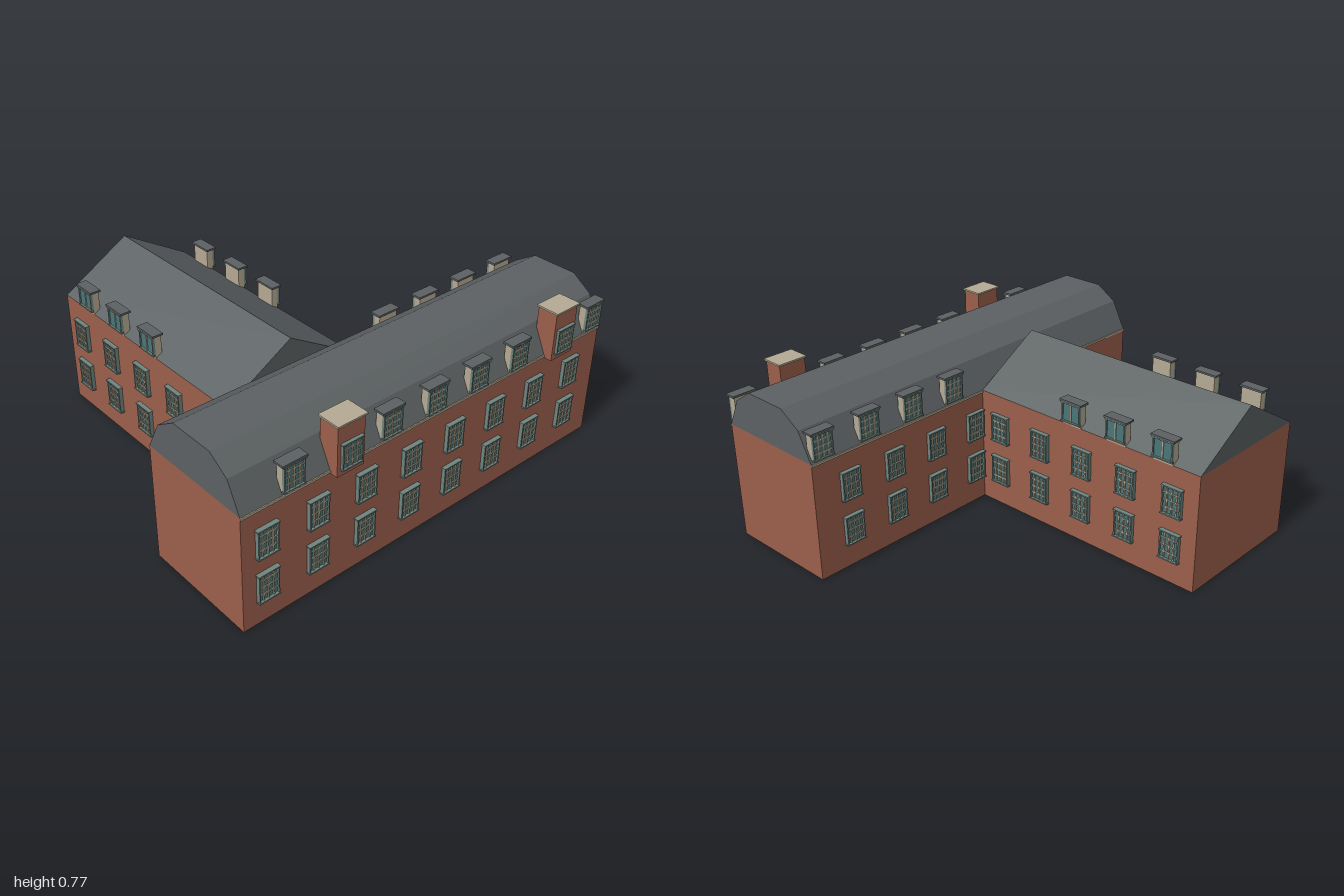
import * as THREE from 'three';
import { mergeGeometries } from 'three/addons/utils/BufferGeometryUtils.js';

const mat = (name, color) => {
  const m = new THREE.MeshStandardMaterial({ color });
  m.name = name;
  return m;
};

const EAVES = 0.55, RIDGE = 0.746;
const FRONT = 0.853, BACK = 0.302, WING_END = -0.905;
const WING_L = -0.636, WING_R = 0.027, WING_MID = (WING_L + WING_R) / 2;

// Box given by its minimum and maximum corners
function span(x0, x1, y0, y1, z0, z1) {
  return new THREE.BoxGeometry(x1 - x0, y1 - y0, z1 - z0)
    .translate((x0 + x1) / 2, (y0 + y1) / 2, (z0 + z1) / 2);
}

function prism(points, depth) {
  const shape = new THREE.Shape(points.map(([a, b]) => new THREE.Vector2(a, b)));
  return new THREE.ExtrudeGeometry(shape, { depth, bevelEnabled: false });
}

// Frame, glass and glazing bars for a window facing +z, standing on the z = 0 plane
function windowParts(w, h, cols, rows, depth) {
  const a = w / 2, b = h / 2, t = 0.006;
  const frame = [
    span(-a, -a + t, -b, b, 0, depth), span(a - t, a, -b, b, 0, depth),
    span(-a - 0.003, a + 0.003, b - t, b, 0, depth + 0.003),
    span(-a - 0.003, a + 0.003, -b, -b + t, 0, depth + 0.003),
  ];
  const bars = [];
  for (let i = 1; i < cols; i++) {
    const x = -a + (w * i) / cols;
    bars.push(span(x - 0.003, x + 0.003, -b + t, b - t, 0.002, depth * 0.8));
  }
  for (let i = 1; i < rows; i++) {
    const y = -b + (h * i) / rows;
    bars.push(span(-a + t, a - t, y - 0.003, y + 0.003, 0.002, depth * 0.8 - 0.001));
  }
  return {
    frame: mergeGeometries(frame),
    glass: span(-a + t, a - t, -b + t, b - t, 0, depth * 0.5),
    bars: mergeGeometries(bars),
  };
}

export function createModel() {
  const brick = mat('brick', 0x9c604c);
  const slate = mat('slate', 0x5c6163);
  const stone = mat('stone', 0xb5aa93);
  const glassMat = mat('glass', 0x4c7678);
  const frameMat = mat('window frame', 0x6f8580);

  const model = new THREE.Group();
  model.name = 'building';
  const add = (parent, name, geometry, material) => {
    const mesh = new THREE.Mesh(geometry, material);
    mesh.name = name;
    parent.add(mesh);
    return mesh;
  };

  // Brick walls
  add(model, 'mainWalls', span(-1, 1, 0, EAVES, BACK, FRONT), brick);
  add(model, 'wingWalls', span(WING_L, WING_R, 0, EAVES, WING_END, BACK), brick);

  // Faceted roof over the main range
  const mainRoof = prism([
    [BACK, EAVES], [FRONT, EAVES], [0.787, 0.682], [0.69, RIDGE], [0.472, RIDGE], [0.37, 0.682],
  ], 2).translate(0, 0, -1).rotateY(-Math.PI / 2);
  add(model, 'mainRoof', mainRoof, slate);

  // Gabled roof over the rear wing
  const wingRoof = prism([[WING_L, EAVES], [WING_R, EAVES], [WING_MID, RIDGE]], BACK - WING_END)
    .translate(0, 0, WING_END);
  add(model, 'wingRoof', wingRoof, slate);

  // Eaves strips
  add(model, 'frontEaves', span(-1, 1, 0.539, 0.549, FRONT, FRONT + 0.005), stone);
  add(model, 'backEavesRight', span(-1, WING_L, 0.539, 0.549, BACK - 0.005, BACK), stone);
  add(model, 'backEavesLeft', span(WING_R, 1, 0.539, 0.549, BACK - 0.005, BACK), stone);

  // Window kinds, sharing geometry between copies
  const wallWindow = windowParts(0.097, 0.136, 4, 4, 0.018);
  const dormerWindow = windowParts(0.1, 0.118, 4, 4, 0.012);
  const lowDormerWindow = windowParts(0.1, 0.093, 2, 1, 0.012);

  function addWindow(parts, x, y, z, turn, parent = model) {
    const g = new THREE.Group();
    g.name = 'window';
    add(g, 'windowFrame', parts.frame, frameMat);
    add(g, 'windowGlass', parts.glass, glassMat);
    add(g, 'glazingBars', parts.bars, stone);
    g.position.set(x, y, z);
    g.rotation.y = turn;
    parent.add(g);
  }

  // Upright dormer with a flat slate cap, front on the local z = 0 plane
  function addDormer(parts, h, x, z, turn) {
    const g = new THREE.Group();
    g.name = 'dormer';
    add(g, 'dormerBody', span(-0.05, 0.05, -0.015, h, -0.032, 0), stone);
    add(g, 'dormerCap', span(-0.059, 0.059, h, h + 0.009, -0.038, 0.014), slate);
    addWindow(parts, 0, h / 2, 0, 0, g);
    g.position.set(x, 0.563, z);
    g.rotation.y = turn;
    model.add(g);
  }

  // Brick chimney with a window in its face and a stone cap
  function addChimney(x) {
    const g = new THREE.Group();
    g.name = 'chimney';
    add(g, 'chimneyStack', span(-0.067, 0.067, 0.535, 0.76, 0.797, 0.892), brick);
    add(g, 'chimneyCap', span(-0.073, 0.073, 0.76, 0.768, 0.79, 0.9), stone);
    addWindow(dormerWindow, 0, 0.622, 0.892, 0, g);
    g.position.x = x;
    model.add(g);
  }

  // Main range: eight bays, with dormers offset half a bay
  const rows = [0.18, 0.393];
  for (let i = 0; i < 8; i++) {
    const x = -0.887 + i * 0.2433, dx = -0.759 + i * 0.2427;
    for (const y of rows) {
      addWindow(wallWindow, x, y, FRONT, 0);
      if (x > WING_R) addWindow(wallWindow, x, y, BACK, Math.PI);
    }
    if (i === 1 || i === 6) addChimney(dx);
    else addDormer(dormerWindow, 0.117, dx, FRONT, 0);
    if (dx > WING_R) addDormer(dormerWindow, 0.117, dx, BACK, Math.PI);
  }

  // Rear wing: five bays and three dormers on each side
  for (const [x, turn] of [[WING_R, Math.PI / 2], [WING_L, -Math.PI / 2]]) {
    for (let i = 0; i < 5; i++) {
      for (const y of rows) addWindow(wallWindow, x, y, 0.185 - i * 0.2415, turn);
    }
    for (let i = 0; i < 3; i++) addDormer(lowDormerWindow, 0.093, x, -0.235 - i * 0.2425, turn);
  }

  return model;
}
